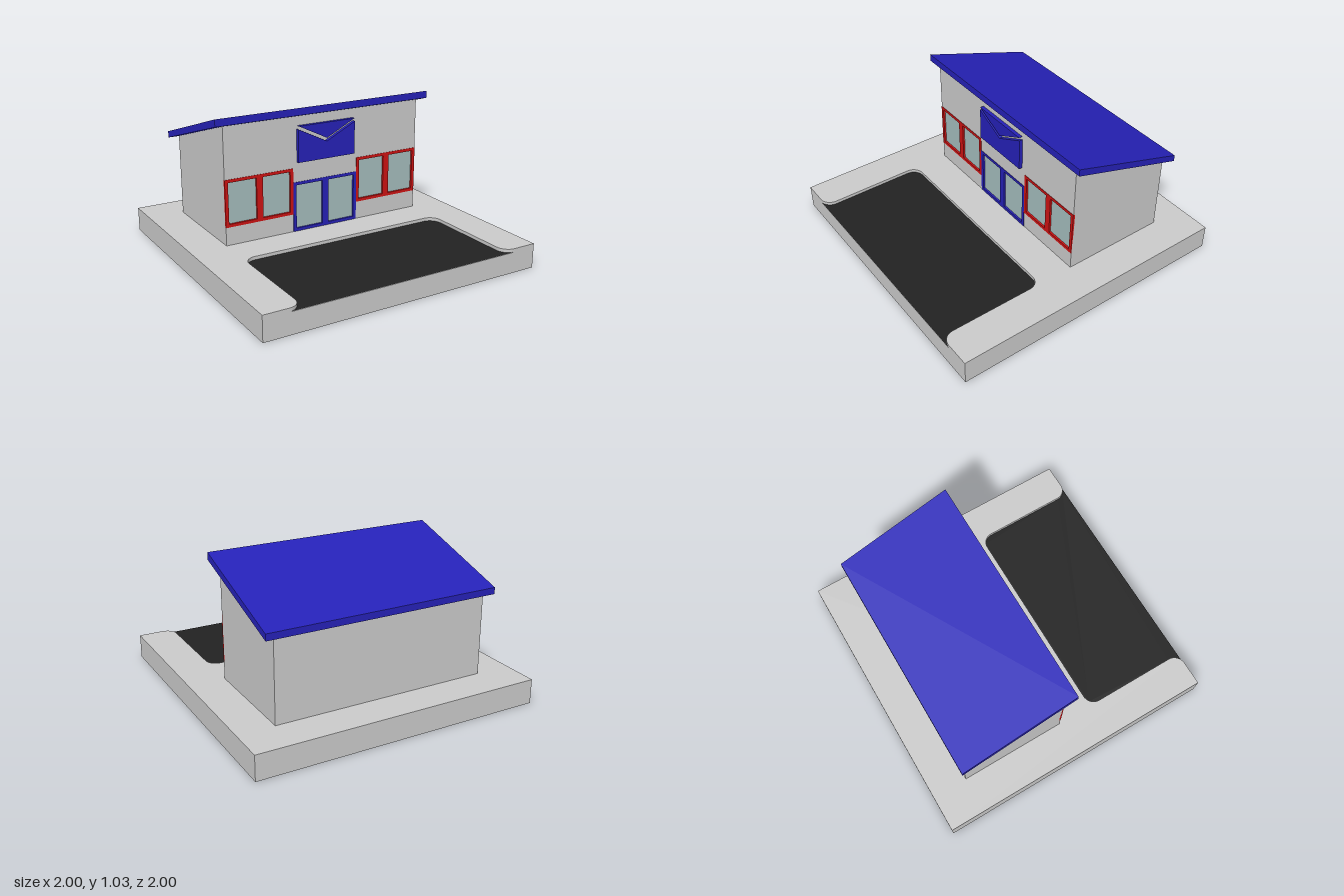
import * as THREE from 'three';

const mat = (color) => new THREE.MeshStandardMaterial({ color });
const grey = mat(0xcccccc);
const blue = mat(0x2621b8);
const red = mat(0xce1212);
const glass = mat(0xa5bdbd);
const asphalt = mat(0x222222);

const rect = (x0, y0, x1, y1, Type = THREE.Shape) =>
  new Type([[x0, y0], [x1, y0], [x1, y1], [x0, y1]].map(([x, y]) => new THREE.Vector2(x, y)));
const poly = (pts) => new THREE.Shape(pts.map(([x, y]) => new THREE.Vector2(x, y)));
const extrude = (shape, depth) =>
  new THREE.ExtrudeGeometry(shape, { depth, bevelEnabled: false, curveSegments: 5 });

// Extrudes a (z, y) side profile across the width, centred on x = 0
const across = (pts, width) => extrude(poly(pts), width).rotateY(-Math.PI / 2).translate(width / 2, 0, 0);

// Kerb line around the parking bay, drawn with y = -z
function kerb(shape) {
  const h = Math.PI / 2;
  shape.absarc(-0.83, -0.92, 0.08, -h, 0, false);
  shape.absarc(-0.67, -0.33, 0.08, 2 * h, h, true);
  shape.absarc(0.67, -0.33, 0.08, h, 0, true);
  shape.absarc(0.83, -0.92, 0.08, 2 * h, 3 * h, false);
  return shape;
}

export function createModel() {
  const root = new THREE.Group();
  root.name = 'shopBuilding';
  const add = (name, geometry, material, parent = root) => {
    const mesh = new THREE.Mesh(geometry, material);
    mesh.name = name;
    parent.add(mesh);
    return mesh;
  };

  // Ground slab with the sunken parking bay
  const ground = 0.17, bay = 0.145;
  add('groundSlab', new THREE.BoxGeometry(2, bay, 2).translate(0, bay / 2, 0), grey);
  const pavement = new THREE.Shape();
  pavement.moveTo(-1, 1).lineTo(-1, -1);
  kerb(pavement).lineTo(1, -1).lineTo(1, 1);
  add('pavement', extrude(pavement, ground - bay).rotateX(-Math.PI / 2).translate(0, bay, 0), grey);
  add('parkingBay', new THREE.ShapeGeometry(kerb(new THREE.Shape()), 5)
    .rotateX(-Math.PI / 2).translate(0, bay + 0.002, 0), asphalt);

  // Main body under the sloping roof
  const inset = 0.014;
  add('body', across([[-0.75, ground], [-inset, ground], [-inset, 0.975], [-0.75, 0.745]], 1.5), grey);
  add('roof', across([[-0.785, 0.73], [0.035, 0.985], [0.035, 1.035], [-0.785, 0.775]], 1.63), blue);

  // Front wall, pierced behind every pair of panes
  const wall = rect(-0.75, ground, 0.75, 0.975);

  // Two-pane unit: frame with openings and recessed glass
  function glazing(name, cx, y0, y1, material) {
    const group = new THREE.Group();
    group.name = name;
    const frame = rect(cx - 0.25, y0, cx + 0.25, y1);
    for (const s of [-1, 1]) {
      const a = cx + s * 0.125 - 0.102, b = cx + s * 0.125 + 0.102;
      const lo = y0 + 0.021, hi = y1 - 0.021;
      frame.holes.push(rect(a, lo, b, hi, THREE.Path));
      wall.holes.push(rect(a - 0.004, lo - 0.004, b + 0.004, hi + 0.004, THREE.Path));
      add('pane', new THREE.PlaneGeometry(b - a, hi - lo)
        .translate((a + b) / 2, (lo + hi) / 2, 0.002 - inset), glass, group);
    }
    add('frame', extrude(frame, inset).translate(0, 0, 0.003 - inset), material, group);
    root.add(group);
  }
  glazing('rightWindow', -0.5, 0.295, 0.62, red);
  glazing('leftWindow', 0.5, 0.295, 0.62, red);
  glazing('doubleDoor', 0, ground, 0.52, blue);
  add('frontWall', extrude(wall, inset).translate(0, 0, -inset), grey);

  // Envelope sign in two pieces with a gap between flap and pocket
  const sign = new THREE.Group();
  sign.name = 'envelopeSign';
  root.add(sign);
  add('flap', extrude(poly([[-0.216, 0.91], [0, 0.802], [0.216, 0.91]]), 0.025), blue, sign);
  add('pocket', extrude(poly([[-0.22, 0.66], [0.22, 0.66], [0.22, 0.889], [0, 0.78], [-0.22, 0.889]]), 0.025), blue, sign);

  return root;
}
